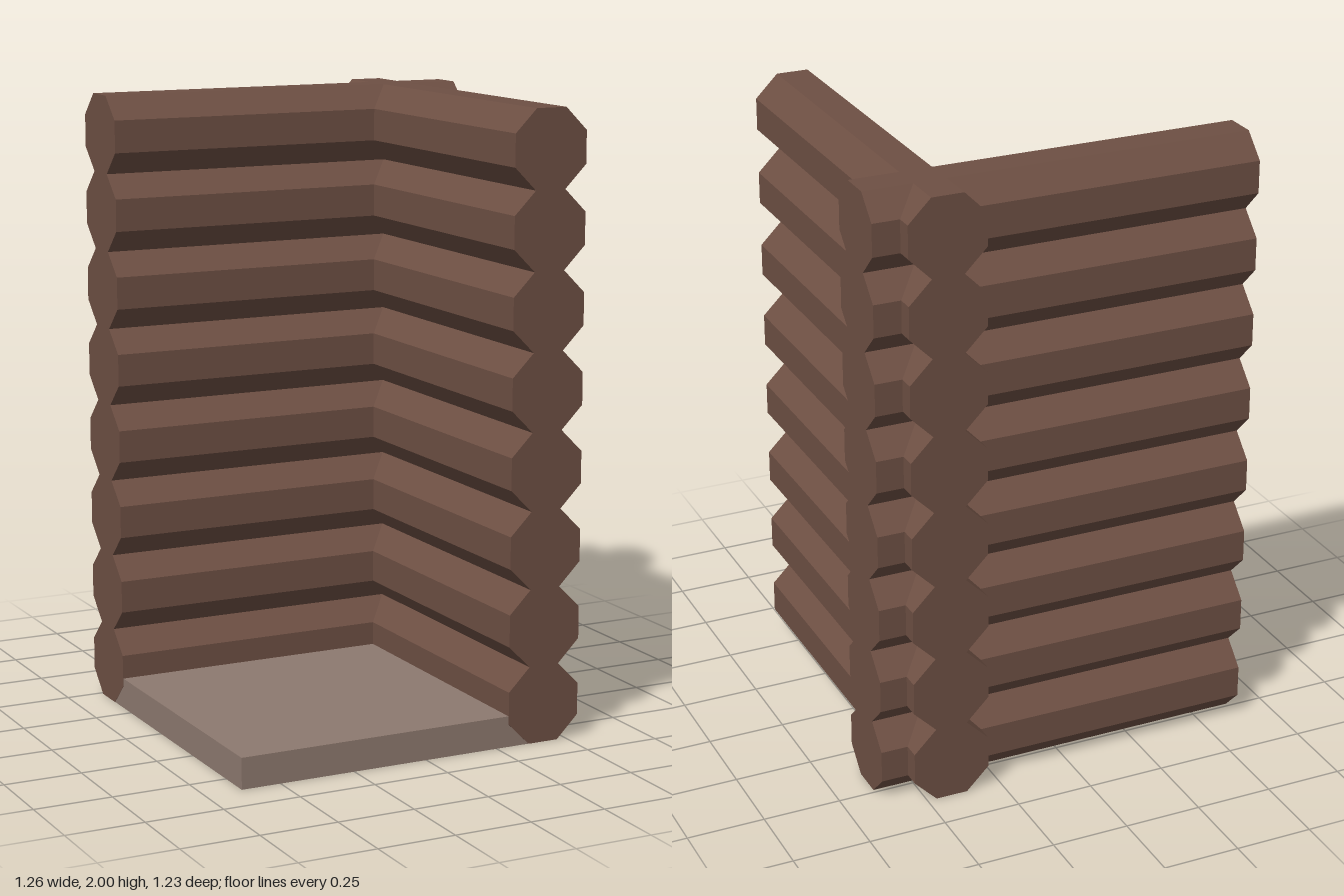
import * as THREE from 'three';

const LOGS = 8, SIZE = 0.25, R = SIZE / 2;
const FLAT = R * Math.tan(Math.PI / 8); // half of one octagon side

// Wall of stacked octagonal logs running along z, open underneath
function logWall(length) {
  const side = [];
  for (let i = 0; i < LOGS; i++) {
    const mid = i * SIZE + R;
    side.push([FLAT, i * SIZE], [R, mid - FLAT], [R, mid + FLAT]);
  }
  side.push([FLAT, LOGS * SIZE]);
  const points = [
    ...side.map(([x, y]) => new THREE.Vector2(x, y)),
    ...side.slice().reverse().map(([x, y]) => new THREE.Vector2(-x, y)),
  ];
  const geo = new THREE.ExtrudeGeometry(new THREE.Shape(points), { depth: length, bevelEnabled: false });
  geo.translate(0, 0, -length / 2);

  // Drop the underside triangles
  const p = geo.attributes.position;
  const index = [];
  for (let i = 0; i < p.count; i += 3) {
    const top = Math.max(p.getY(i), p.getY(i + 1), p.getY(i + 2));
    if (top > 0.001) index.push(i, i + 1, i + 2);
  }
  geo.clearGroups();
  geo.setIndex(index);
  return geo;
}

export function createModel() {
  const model = new THREE.Group();
  model.name = 'logCorner';

  const logWood = new THREE.MeshStandardMaterial({ color: 0x6d4f43 });
  logWood.name = 'logWood';
  const floorWood = new THREE.MeshStandardMaterial({ color: 0x8d796f });
  floorWood.name = 'floorWood';

  const add = (name, geo, material, x, y, z) => {
    const mesh = new THREE.Mesh(geo, material);
    mesh.name = name;
    mesh.position.set(x, y, z);
    model.add(mesh);
  };

  const wallX = 0.417, wallZ = -0.435;

  // Two log walls crossing at the corner
  add('sideWall', logWall(1.23), logWood, wallX, 0, 0);
  add('backWall', logWall(1.26).rotateY(Math.PI / 2), logWood, 0, 0, wallZ);

  // Floor slab reaching to the inner edge of the logs' undersides
  const x0 = -0.629, x1 = wallX - FLAT, z0 = wallZ + FLAT, z1 = 0.614;
  add('floor', new THREE.BoxGeometry(x1 - x0, 0.1, z1 - z0), floorWood,
    (x0 + x1) / 2, 0.05, (z0 + z1) / 2);

  return model;
}
